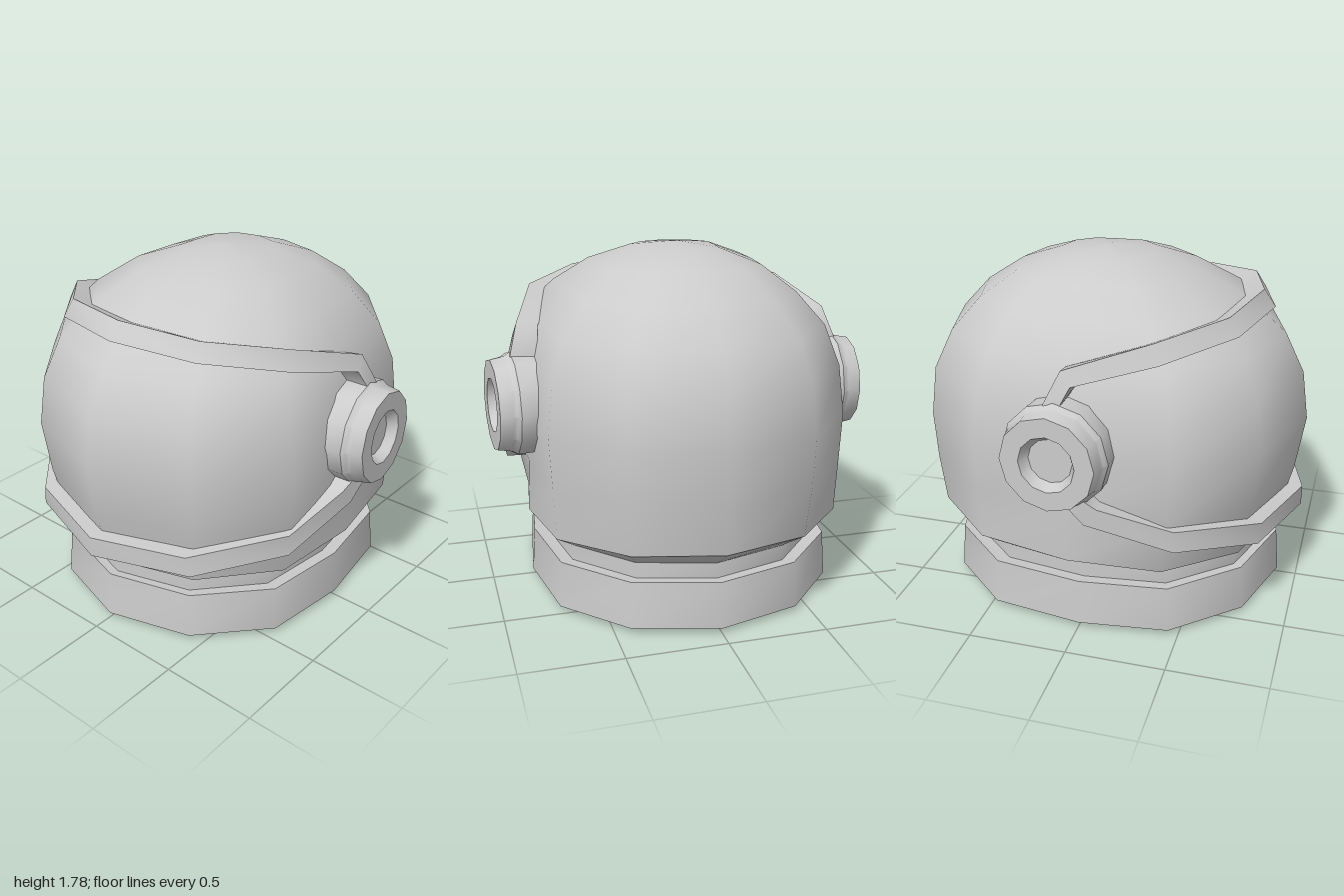
import * as THREE from 'three';
import { toCreasedNormals } from 'three/addons/utils/BufferGeometryUtils.js';

const material = new THREE.MeshStandardMaterial({ color: 0xcccccc });

// Skin a list of closed loops (equal point counts) and cap both ends.
function loft(loops, crease) {
  const n = loops[0].length, pos = loops.flat(2), index = [];
  for (let r = 0; r < loops.length - 1; r++) {
    for (let i = 0; i < n; i++) {
      const a = r * n + i, b = r * n + (i + 1) % n;
      index.push(a, b, b + n, a, b + n, a + n);
    }
  }
  for (const r of [0, loops.length - 1]) {
    const centre = pos.length / 3;
    for (let k = 0; k < 3; k++) pos.push(loops[r].reduce((s, p) => s + p[k], 0) / n);
    for (let i = 0; i < n; i++) {
      const a = r * n + i, b = r * n + (i + 1) % n;
      index.push(centre, ...(r === 0 ? [b, a] : [a, b]));
    }
  }
  const g = new THREE.BufferGeometry();
  g.setAttribute('position', new THREE.Float32BufferAttribute(pos, 3));
  g.setIndex(index);
  return toCreasedNormals(g, crease);
}

// Twelve-sided horizontal outline, from back to front and round again.
function mirrorOutline(half) {
  return [...half, ...half.slice(1, 6).reverse().map(([x, z]) => [-x, z])];
}
const shellOutline = mirrorOutline([[0, -1], [0.56, -0.88], [0.92, -0.53], [0.98, -0.04], [1, 0.48], [0.61, 0.84], [0, 1]]);
const baseOutline = mirrorOutline([[0, -1], [0.54, -0.87], [0.91, -0.52], [1, 0], [0.93, 0.5], [0.55, 0.86], [0, 1]]);

// One ring: height, half width, front z, back z, and how much the back rises.
function ring(outline, [y, w, front, back, tilt = 0]) {
  return outline.map(([u, v]) => [u * w, y - tilt * v, (front + back) / 2 + v * (front - back) / 2]);
}
const shellRing = row => ring(shellOutline, row);
const baseRing = row => ring(baseOutline, row);

function addMesh(parent, name, geometry) {
  const mesh = new THREE.Mesh(geometry, material);
  mesh.name = name;
  parent.add(mesh);
  return mesh;
}

// Bar following half-stations of [outerTop, outerBottom, innerBottom, innerTop], mirrored in x.
function trim(half) {
  const left = half.slice(1).reverse().map(s => s.map(([x, y, z]) => [-x, y, z]));
  return loft([...left, ...half], 0.85);
}

export function createModel() {
  const helmet = new THREE.Group();
  helmet.name = 'helmet';

  // Domed shell, its slanted rim turned in towards the neck
  const rim = baseRing([0.393, 0.8, 0.87, -0.965, 0.045]);
  addMesh(helmet, 'shell', loft([...[
    [1.78, 0.015, -0.04, -0.06],
    [1.755, 0.21, 0.2, -0.3],
    [1.68, 0.41, 0.42, -0.52],
    [1.55, 0.58, 0.67, -0.72],
    [1.39, 0.72, 0.86, -0.87],
    [1.19, 0.79, 0.96, -0.97],
    [0.94, 0.82, 0.995, -1.0],
    [0.67, 0.805, 0.95, -0.985, 0.02],
  ].map(shellRing), rim], 1.2));
  addMesh(helmet, 'shellUnderside', loft([rim, baseRing([0.33, 0.7, 0.84, -0.81])], 1));

  // Neck, collar and flat base
  addMesh(helmet, 'neck', loft([[0.34, 0.7, 0.83, -0.81], [0.24, 0.7, 0.83, -0.81]].map(baseRing), 0.9));
  addMesh(helmet, 'collar', loft([
    [0.25, 0.7, 0.82, -0.82],
    [0.26, 0.77, 0.88, -0.88],
    [0.025, 0.785, 0.9, -0.9],
  ].map(baseRing), 0.9));
  addMesh(helmet, 'collarBase', loft([[0.025, 0.785, 0.9, -0.9], [0, 0.7, 0.81, -0.81]].map(baseRing), 0.2));

  // Trim bars above and below the visor, ending inside the ear discs
  addMesh(helmet, 'upperVisorTrim', trim([
    [[0, 1.605, 0.74], [0, 1.52, 0.8], [0, 1.485, 0.7], [0, 1.55, 0.62]],
    [[0.41, 1.58, 0.64], [0.43, 1.495, 0.69], [0.36, 1.46, 0.6], [0.34, 1.53, 0.545]],
    [[0.7, 1.525, 0.35], [0.73, 1.43, 0.38], [0.62, 1.395, 0.31], [0.585, 1.475, 0.29]],
    [[0.825, 1.4, -0.05], [0.84, 1.33, 0], [0.73, 1.31, 0], [0.72, 1.38, -0.06]],
    [[0.87, 1.25, -0.12], [0.875, 1.23, -0.05], [0.75, 1.23, -0.05], [0.73, 1.25, -0.12]],
    [[0.88, 1.12, -0.14], [0.88, 1.12, -0.07], [0.76, 1.12, -0.07], [0.76, 1.12, -0.14]],
  ]));
  addMesh(helmet, 'lowerVisorTrim', trim([
    [[0, 0.545, 1], [0, 0.44, 1], [0, 0.44, 0.86], [0, 0.55, 0.88]],
    [[0.49, 0.57, 0.855], [0.51, 0.465, 0.845], [0.44, 0.465, 0.72], [0.42, 0.575, 0.74]],
    [[0.825, 0.65, 0.49], [0.825, 0.54, 0.49], [0.71, 0.54, 0.42], [0.7, 0.65, 0.41]],
    [[0.88, 0.745, 0.13], [0.89, 0.66, 0.07], [0.76, 0.66, 0.06], [0.76, 0.745, 0.12]],
    [[0.9, 0.8, 0.06], [0.91, 0.76, -0.01], [0.78, 0.76, -0.01], [0.78, 0.8, 0.06]],
    [[0.9, 0.9, 0.02], [0.9, 0.9, -0.05], [0.78, 0.9, -0.05], [0.78, 0.9, 0.02]],
  ]));

  // Stepped ear discs with a recessed centre, turned slightly backwards
  const profile = [[0.262, -0.24], [0.267, -0.1], [0.25, -0.075], [0.245, -0.055], [0.235, 0], [0.14, 0], [0.11, -0.05], [0, -0.05]];
  const earGeometry = toCreasedNormals(
    new THREE.LatheGeometry(profile.map(p => new THREE.Vector2(...p)), 12).rotateZ(-Math.PI / 2), 0.55);
  for (const [name, side] of [['leftEarDisc', 1], ['rightEarDisc', -1]]) {
    const ear = addMesh(helmet, name, earGeometry);
    ear.position.set(side * 0.968, 0.99, -0.08);
    ear.rotation.y = side > 0 ? 0.075 : Math.PI - 0.075;
  }

  return helmet;
}
